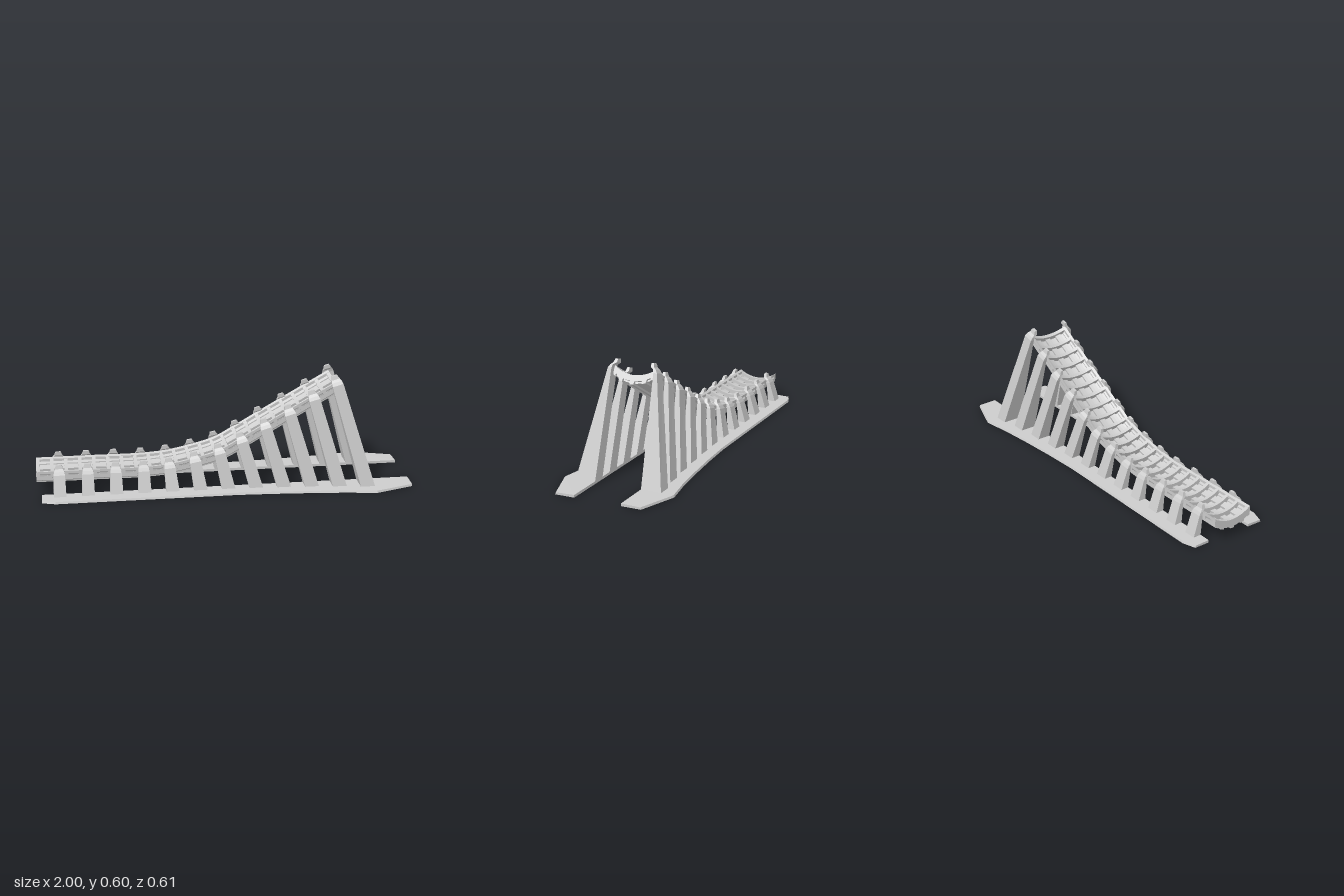
import * as THREE from 'three';

const material = new THREE.MeshStandardMaterial({ color: 0xcccccc, flatShading: true });

// Underside centre line of the track: level run-in, then an upward curve
const path = new THREE.CatmullRomCurve3([
  [-1, 0.05], [-0.7, 0.05], [-0.436, 0.05], [-0.286, 0.061], [-0.14, 0.09],
  [0, 0.13], [0.13, 0.2], [0.257, 0.273], [0.45, 0.383], [0.64, 0.49],
].map(([x, y]) => new THREE.Vector3(x, y, 0)));

// Skins a row of equal rings (arrays of Vector3) and closes both ends
function loft(name, rings, flip = false) {
  const pos = [];
  const n = rings[0].length;
  const quad = (a, b, c, d) => {
    for (const p of flip ? [a, c, b, a, d, c] : [a, b, c, a, c, d]) pos.push(p.x, p.y, p.z);
  };
  for (let i = 0; i < rings.length - 1; i++) {
    const r = rings[i], s = rings[i + 1];
    for (let j = 0; j < n; j++) {
      const k = (j + 1) % n;
      quad(r[j], s[j], s[k], r[k]);
    }
  }
  const first = rings[0], last = rings[rings.length - 1];
  for (let k = 0; k < n / 2 - 1; k++) {
    quad(first[k], first[k + 1], first[n - 2 - k], first[n - 1 - k]);
    quad(last[n - 1 - k], last[n - 2 - k], last[k + 1], last[k]);
  }
  const geo = new THREE.BufferGeometry();
  geo.setAttribute('position', new THREE.Float32BufferAttribute(pos, 3));
  geo.computeVertexNormals();
  const mesh = new THREE.Mesh(geo, material);
  mesh.name = name;
  return mesh;
}

// Curved strip section [z, height] following the dished shape of the track
function band(z0, z1, lo, hi, n, taper = 0) {
  const dish = (z) => 2.9 * z * z;
  const bottom = [], top = [];
  for (let i = 0; i <= n; i++) {
    const t = i / n;
    const zb = THREE.MathUtils.lerp(z0 + taper, z1 - taper, t);
    const zt = THREE.MathUtils.lerp(z0, z1, t);
    bottom.push([zb, dish(zb) + lo]);
    top.unshift([zt, dish(zt) + hi]);
  }
  return [...bottom, ...top];
}

// Carries a section along the path between two fractions of its length
function sweep(name, section, u0, u1, steps) {
  const rings = [];
  for (let i = 0; i <= steps; i++) {
    const u = THREE.MathUtils.lerp(u0, u1, i / steps);
    const p = path.getPointAt(u), t = path.getTangentAt(u);
    rings.push(section.map(([z, h]) => new THREE.Vector3(p.x - t.y * h, p.y + t.x * h, z)));
  }
  return loft(name, rings);
}

function createTrack() {
  const track = new THREE.Group();
  track.name = 'track';
  track.add(sweep('troughSkin', band(-0.108, 0.108, 0.009, 0.02, 20), 0, 0.992, 44));
  // Lengthwise stringers
  for (const z of [-0.065, 0, 0.065]) {
    track.add(sweep('stringer', band(z - 0.015, z + 0.015, 0, 0.033, 2, 0.005), 0, 1, 44));
  }
  for (const s of [-1, 1]) {
    track.add(sweep('lowerEdgeRail', band(s * 0.104 - 0.007, s * 0.104 + 0.007, 0.004, 0.026, 1), 0, 1, 44));
    track.add(sweep('upperEdgeRail', band(s * 0.106 - 0.006, s * 0.106 + 0.006, 0.036, 0.05, 1), 0, 1, 44));
  }
  // Dished cross ribs
  const ribs = 24, half = 0.0055;
  for (let i = 0; i < ribs; i++) {
    const u = half + (1 - 2 * half) * i / (ribs - 1);
    track.add(sweep('crossRib', band(-0.112, 0.112, 0.018, 0.049, 16), u - half, u + half, 1));
  }
  return track;
}

// Outer edge of the ground rail as [x, z]
const railEdge = [[-0.975, 0.212], [-0.905, 0.235], [0.05, 0.235], [0.25, 0.246],
  [0.45, 0.262], [0.63, 0.281], [0.79, 0.307], [1, 0.235]];

function outerZ(x) {
  const i = Math.max(1, railEdge.findIndex((p) => p[0] >= x));
  const [x0, z0] = railEdge[i - 1], [x1, z1] = railEdge[i];
  return z0 + (z1 - z0) * (x - x0) / (x1 - x0);
}

function createGroundRail(side) {
  const rings = railEdge.map(([x, z]) => [[0.128, 0], [z, 0], [z - 0.004, 0.011], [0.128, 0.014]]
    .map(([pz, y]) => new THREE.Vector3(x, y, side * pz)));
  return loft('groundRail', rings, side < 0);
}

// Tip positions of the uprights
const tips = [[-0.88, 0.168], [-0.73, 0.168], [-0.583, 0.168], [-0.436, 0.168],
  [-0.302, 0.178], [-0.168, 0.205], [-0.04, 0.244], [0.078, 0.302],
  [0.204, 0.374], [0.334, 0.446], [0.463, 0.521], [0.586, 0.598]];

// Tapered leaning upright with a claw that hooks over the track edge
function createUpright(i, side) {
  const baseX = -0.88 + 0.1487 * i;
  const base = new THREE.Vector3(baseX, 0.012, 0);
  const tip = new THREE.Vector3(tips[i][0], tips[i][1], 0);
  const axis = tip.clone().sub(base).normalize();
  const across = new THREE.Vector3(axis.y, -axis.x, 0);
  const ring = (c, dir, w, zi, zo) => [[-w, zi], [w, zi], [w, zo], [-w, zo]].map(([d, z]) => {
    const p = c.clone().addScaledVector(dir, d);
    p.z = side * z;
    return p;
  });
  const rings = [ring(base, new THREE.Vector3(1, 0, 0), 0.033 + 0.0005 * i, 0.128, outerZ(baseX) - 0.064)];
  // [distance below tip, half width, inner z, outer z]
  for (const [drop, w, zi, zo] of [[0.048, 0.03, 0.116, 0.136], [0.032, 0.027, 0.112, 0.126],
    [0.02, 0.021, 0.094, 0.113], [0, 0.014, 0.093, 0.107]]) {
    rings.push(ring(tip.clone().addScaledVector(axis, -drop), across, w, zi, zo));
  }
  return loft('upright', rings, side < 0);
}

export function createModel() {
  const model = new THREE.Group();
  model.name = 'launchRamp';
  model.add(createTrack());
  for (const side of [1, -1]) {
    const support = new THREE.Group();
    support.name = side > 0 ? 'frontSupport' : 'backSupport';
    support.add(createGroundRail(side));
    for (let i = 0; i < tips.length; i++) support.add(createUpright(i, side));
    model.add(support);
  }
  return model;
}
